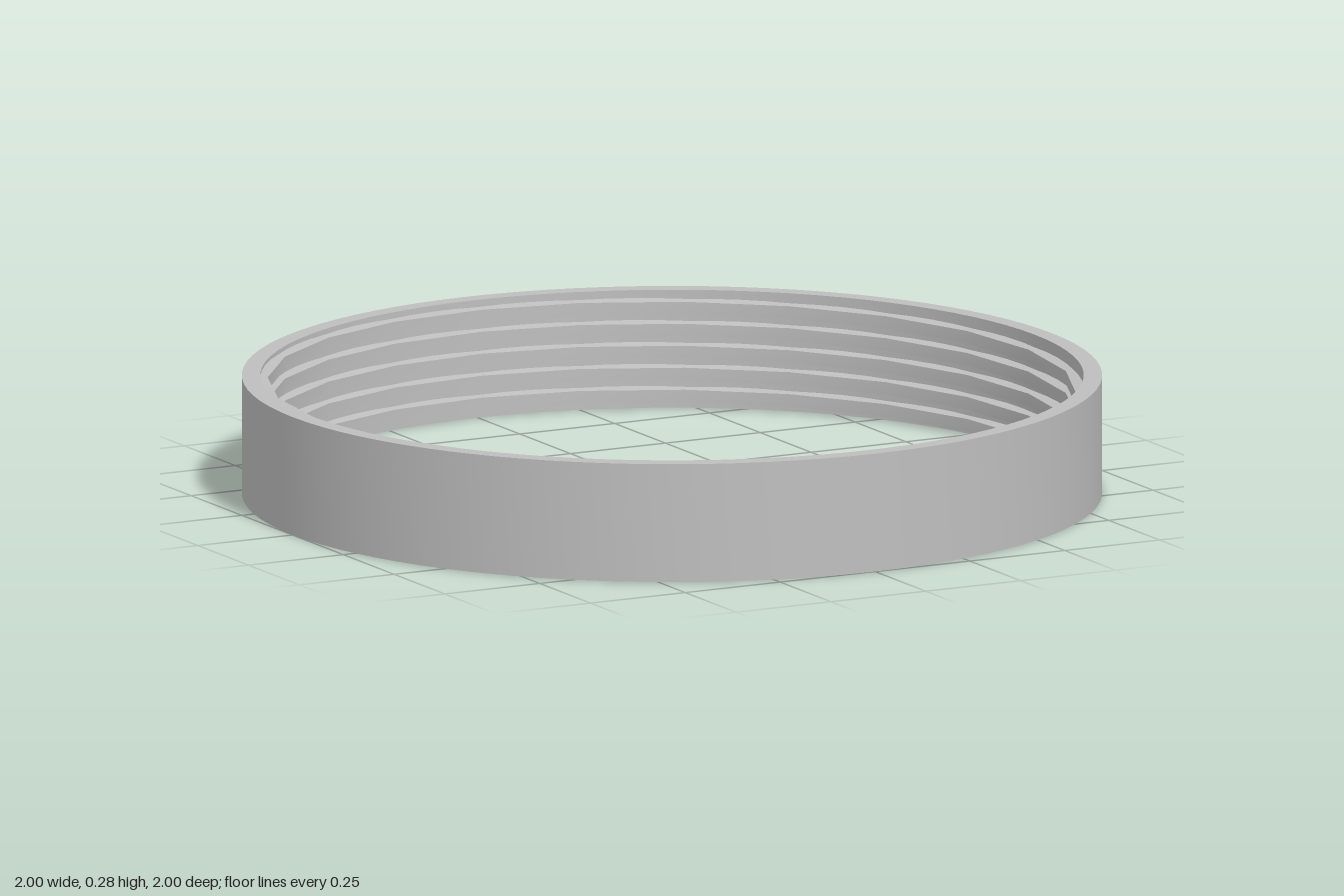
import * as THREE from 'three';
import { toCreasedNormals } from 'three/addons/utils/BufferGeometryUtils.js';

const HEIGHT = 0.28;

// Trapezoid section swept along a right-handed helix inside the bore
function helicalThread(turns, stepsPerTurn, y0, y1) {
  const section = [[0.975, -0.022], [0.94, -0.015], [0.94, 0.015], [0.975, 0.022]];
  const steps = turns * stepsPerTurn;
  const positions = [], index = [];
  for (let i = 0; i <= steps; i++) {
    const angle = (i / stepsPerTurn) * Math.PI * 2;
    const y = y0 + (y1 - y0) * i / steps;
    for (const [r, dy] of section) {
      positions.push(r * Math.cos(angle), y + dy, -r * Math.sin(angle));
    }
  }
  for (let i = 0; i < steps; i++) {
    for (let j = 0; j < 4; j++) {
      const a = i * 4 + j, b = i * 4 + (j + 1) % 4;
      index.push(a, b, a + 4, b, b + 4, a + 4);
    }
  }
  // End faces
  const e = steps * 4;
  index.push(0, 2, 1, 0, 3, 2, e, e + 1, e + 2, e, e + 2, e + 3);
  const geometry = new THREE.BufferGeometry();
  geometry.setAttribute('position', new THREE.Float32BufferAttribute(positions, 3));
  geometry.setIndex(index);
  return toCreasedNormals(geometry, 0.4);
}

export function createModel() {
  const group = new THREE.Group();
  group.name = 'threadedRing';
  const grey = new THREE.MeshStandardMaterial({ color: 0xbebebe });
  grey.name = 'grey';

  // Plain outer band with a smooth bore
  const profile = [[0.957, 0], [1, 0], [1, HEIGHT], [0.957, HEIGHT], [0.957, 0]]
    .map(([r, y]) => new THREE.Vector2(r, y));
  const band = new THREE.Mesh(
    toCreasedNormals(new THREE.LatheGeometry(profile, 96), 0.4), grey);
  band.name = 'outerBand';

  // Internal screw thread, slightly faceted
  const thread = new THREE.Mesh(helicalThread(4.5, 24, 0.0225, HEIGHT - 0.0225), grey);
  thread.name = 'innerThread';

  group.add(band, thread);
  return group;
}
